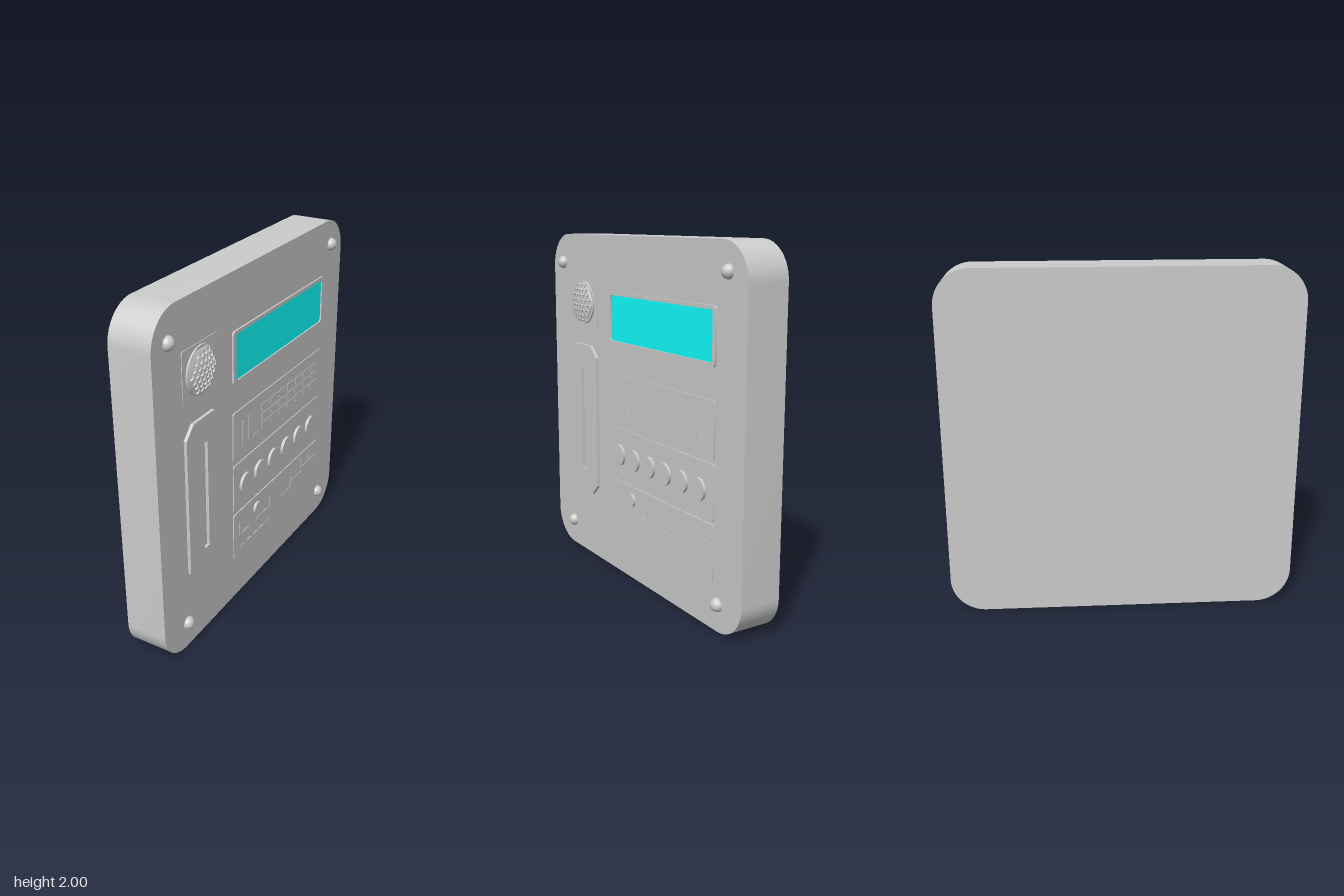
import * as THREE from 'three';
import { toCreasedNormals } from 'three/addons/utils/BufferGeometryUtils.js';

const grey = new THREE.MeshStandardMaterial({ color: 0xcccccc });
const cyan = new THREE.MeshStandardMaterial({ color: 0x10ffff });
const FACE = 0.1; // height of the front face of the body

// Rectangle outline with rounded corners
function roundedRect(x0, y0, x1, y1, r, Type = THREE.Shape) {
  const s = new Type();
  s.moveTo(x0 + r, y0);
  s.lineTo(x1 - r, y0);
  s.absarc(x1 - r, y0 + r, r, -Math.PI / 2, 0);
  s.lineTo(x1, y1 - r);
  s.absarc(x1 - r, y1 - r, r, 0, Math.PI / 2);
  s.lineTo(x0 + r, y1);
  s.absarc(x0 + r, y1 - r, r, Math.PI / 2, Math.PI);
  s.lineTo(x0, y0 + r);
  s.absarc(x0 + r, y0 + r, r, Math.PI, Math.PI * 1.5);
  return s;
}

function polygon(points, Type = THREE.Shape) {
  return new Type(points.map(([x, y]) => new THREE.Vector2(x, y)));
}

// Flat plate from z0 to z1
function plate(name, shape, z0, z1, material = grey, segments = 6) {
  const g = new THREE.ExtrudeGeometry(shape, { depth: z1 - z0, bevelEnabled: false, curveSegments: segments });
  g.translate(0, 0, z0);
  const mesh = new THREE.Mesh(toCreasedNormals(g, 0.5), material);
  mesh.name = name;
  return mesh;
}

// Round button facing outwards
function disc(name, x, y, r, top) {
  const mesh = new THREE.Mesh(new THREE.CylinderGeometry(r, r, top - FACE, 32), grey);
  mesh.rotation.x = Math.PI / 2;
  mesh.position.set(x, y, (FACE + top) / 2);
  mesh.name = name;
  return mesh;
}

// Thin raised mark on a panel
function mark(name, x0, y0, x1, y1) {
  const mesh = new THREE.Mesh(new THREE.BoxGeometry(x1 - x0, y1 - y0, 0.009), grey);
  mesh.position.set((x0 + x1) / 2, (y0 + y1) / 2, FACE + 0.0045);
  mesh.name = name;
  return mesh;
}

// Domed speaker with a honeycomb grille
function createSpeaker() {
  const speaker = new THREE.Group();
  speaker.name = 'speaker';
  const R = 0.132, H = 0.026;
  const lift = (x, y) => H * (1 - (x * x + y * y) / (R * R));

  const profile = [];
  for (let i = 0; i <= 10; i++) profile.push(new THREE.Vector2(R * i / 10, lift(R * i / 10, 0)));
  const dome = new THREE.Mesh(new THREE.LatheGeometry(profile.reverse(), 32), grey);
  dome.rotation.x = Math.PI / 2;
  dome.name = 'speakerDome';
  speaker.add(dome);

  const shape = new THREE.Shape().absarc(0, 0, R, 0, Math.PI * 2);
  const pitch = 0.036, hexR = 0.0165;
  for (let row = -4; row <= 4; row++) {
    for (let col = -4; col <= 4; col++) {
      const cx = (col + (row & 1) / 2) * pitch, cy = row * pitch * 0.866;
      if (Math.hypot(cx, cy) > R - hexR - 0.003) continue;
      const corners = [];
      for (let k = 0; k < 6; k++) {
        const a = -(k + 0.5) * Math.PI / 3;
        corners.push([cx + hexR * Math.cos(a), cy + hexR * Math.sin(a)]);
      }
      shape.holes.push(polygon(corners, THREE.Path));
    }
  }
  const g = new THREE.ExtrudeGeometry(shape, { depth: 0.01, bevelEnabled: false, curveSegments: 24 });
  const p = g.attributes.position;
  for (let i = 0; i < p.count; i++) p.setZ(i, p.getZ(i) + lift(p.getX(i), p.getY(i)));
  const grille = new THREE.Mesh(toCreasedNormals(g, 0.5), grey);
  grille.name = 'speakerGrille';
  speaker.add(grille);
  speaker.position.set(-0.605, 1.595, FACE + 0.003);
  return speaker;
}

export function createModel() {
  const model = new THREE.Group();
  model.name = 'controlPanel';
  const panel = new THREE.Group();
  panel.name = 'panelAssembly';
  panel.rotation.y = Math.PI / 2; // the controls face +x
  model.add(panel);

  // Body slab
  panel.add(plate('body', roundedRect(-1, 0, 1, 2, 0.2), -0.14, FACE, grey, 12));

  // Corner rivets
  for (const [x, y] of [[-0.87, 1.825], [0.85, 1.85], [-0.785, 0.155], [0.8, 0.15]]) {
    const rivet = new THREE.Mesh(new THREE.SphereGeometry(0.038, 24, 16), grey);
    rivet.position.set(x, y, FACE);
    rivet.name = 'rivet';
    panel.add(rivet);
  }

  // Speaker on its square plate
  panel.add(plate('speakerPlate', roundedRect(-0.765, 1.45, -0.44, 1.74, 0.008), FACE, FACE + 0.004));
  panel.add(createSpeaker());

  // Slot plate with cut corners
  const slot = polygon([[-0.7, 0.405], [-0.505, 0.405], [-0.437, 0.47], [-0.437, 1.27],
    [-0.505, 1.337], [-0.7, 1.337], [-0.765, 1.27], [-0.765, 0.47]]);
  slot.holes.push(polygon([[-0.625, 0.55], [-0.625, 1.19], [-0.577, 1.19], [-0.577, 0.55]], THREE.Path));
  panel.add(plate('slotPlate', slot, FACE, 0.118));

  // Screen in a raised frame
  const frame = roundedRect(-0.3, 1.38, 0.76, 1.682, 0.02);
  frame.holes.push(roundedRect(-0.273, 1.4, 0.737, 1.662, 0.018, THREE.Path));
  panel.add(plate('screenFrame', frame, FACE, 0.11));
  panel.add(plate('screen', roundedRect(-0.273, 1.4, 0.737, 1.662, 0.018), FACE, 0.102, cyan));

  // Three sub-panels
  for (const y of [0.265, 0.585, 0.91]) {
    panel.add(plate('subPanel', roundedRect(-0.3, y, 0.76, y + 0.302, 0.015), FACE, FACE + 0.006));
  }

  // Upper sub-panel: two bars, a dash and a key grid
  panel.add(mark('bar', -0.21, 0.98, -0.185, 1.13), mark('bar', -0.14, 0.98, -0.115, 1.13));
  panel.add(mark('dash', -0.085, 0.98, -0.03, 0.992));
  for (let row = 0; row < 3; row++) {
    for (let col = 0; col < 7; col++) {
      const x = 0.01 + col * 0.102, y = 0.985 + row * 0.058;
      panel.add(mark('key', x, y, x + 0.085, y + 0.042));
    }
  }

  // Middle sub-panel: row of buttons
  for (let i = 0; i < 6; i++) panel.add(disc('button', -0.175 + i * 0.162, 0.73, 0.062, 0.122));

  // Lower sub-panel: knob and stepped line marks
  panel.add(disc('knob', 0.04 - 0.08, 0.487, 0.038, 0.12));
  const lines = [
    [-0.24, 0.4, -0.13, 0.41], [-0.24, 0.4, -0.23, 0.49], [-0.04, 0.4, 0.13, 0.41], [0.12, 0.4, 0.13, 0.47],
    [0.28, 0.39, 0.4, 0.4], [0.39, 0.39, 0.4, 0.5], [0.39, 0.43, 0.54, 0.44], [0.53, 0.43, 0.54, 0.53],
    [0.53, 0.46, 0.72, 0.47], [0.64, 0.46, 0.65, 0.53],
  ];
  for (const l of lines) panel.add(mark('line', ...l));
  for (let i = 0; i < 5; i++) panel.add(mark('dash', -0.23 + i * 0.075, 0.31, -0.185 + i * 0.075, 0.322));

  return model;
}
